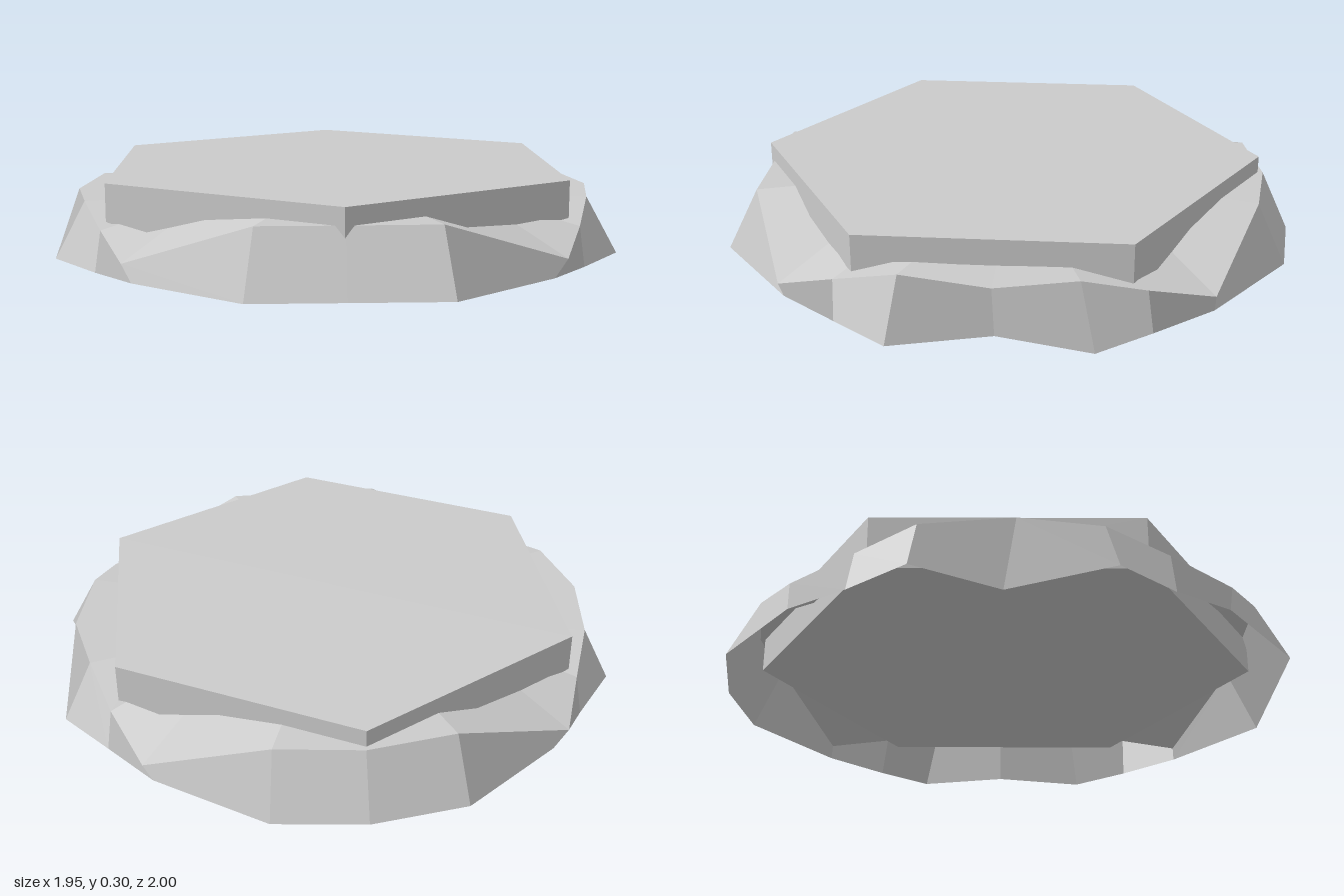
import * as THREE from 'three';

// Stations around the rock ring, counter-clockwise from the front:
// [top x, y, z, bottom x, y, z, height of the inner edge]
const stations = [
  [0.00, 0.24, 0.895, 0.00, 0.025, 0.995, 0.24],
  [0.30, 0.24, 0.89, 0.33, 0.025, 0.995, 0.24],
  [0.72, 0.09, 0.72, 0.68, 0.025, 0.715, 0.20],
  [0.80, 0.155, 0.52, 0.82, 0.015, 0.52, 0.20],
  [0.87, 0.215, 0.30, 0.975, 0.02, 0.33, 0.21],
  [0.93, 0.21, 0.00, 0.85, 0.0, 0.00, 0.21],
  [0.87, 0.215, -0.27, 0.97, 0.02, -0.32, 0.21],
  [0.80, 0.155, -0.48, 0.82, 0.015, -0.50, 0.20],
  [0.70, 0.09, -0.70, 0.67, 0.025, -0.70, 0.20],
  [0.29, 0.24, -0.86, 0.31, 0.025, -0.96, 0.24],
  [0.00, 0.24, -0.90, 0.00, 0.025, -1.00, 0.24],
  [-0.30, 0.24, -0.85, -0.33, 0.025, -0.95, 0.24],
  [-0.72, 0.09, -0.68, -0.67, 0.025, -0.69, 0.20],
  [-0.80, 0.155, -0.47, -0.82, 0.015, -0.49, 0.20],
  [-0.88, 0.215, -0.27, -0.975, 0.02, -0.29, 0.21],
  [-0.93, 0.21, 0.04, -0.85, 0.0, 0.00, 0.21],
  [-0.87, 0.215, 0.32, -0.97, 0.02, 0.35, 0.21],
  [-0.79, 0.155, 0.53, -0.81, 0.015, 0.54, 0.20],
  [-0.70, 0.09, 0.735, -0.67, 0.025, 0.73, 0.20],
  [-0.28, 0.24, 0.895, -0.31, 0.025, 0.995, 0.24],
];

const top = (s) => new THREE.Vector3(s[0], s[1], s[2]);
const bottom = (s) => new THREE.Vector3(s[3], s[4], s[5]);
const inner = (s) => new THREE.Vector3(s[0] * 0.74, s[6], s[2] * 0.74);

// Band of quads joining two edge loops, one shared normal per quad
function band(upper, lower) {
  const positions = [], normals = [];
  stations.forEach((s, i) => {
    const next = stations[(i + 1) % stations.length];
    const a = upper(s), b = lower(s), c = lower(next), d = upper(next);
    const normal = c.clone().sub(a).cross(d.clone().sub(b)).normalize();
    for (const p of [a, b, c, a, c, d]) {
      positions.push(...p.toArray());
      normals.push(...normal.toArray());
    }
  });
  const geometry = new THREE.BufferGeometry();
  geometry.setAttribute('position', new THREE.Float32BufferAttribute(positions, 3));
  geometry.setAttribute('normal', new THREE.Float32BufferAttribute(normals, 3));
  return geometry;
}

export function createModel() {
  const group = new THREE.Group();
  const material = new THREE.MeshStandardMaterial({ color: 0xcccccc, side: THREE.DoubleSide });
  const add = (name, geometry) => {
    const mesh = new THREE.Mesh(geometry, material);
    mesh.name = name;
    group.add(mesh);
    return mesh;
  };

  // Open-bottomed rocky rim
  add('rockSkirt', band(top, bottom));
  add('rockShoulder', band(inner, top));

  // Hexagonal slab sunk into the rim
  const hexagon = new THREE.CylinderGeometry(0.897, 0.897, 0.185, 6).toNonIndexed();
  hexagon.computeVertexNormals();
  const slab = add('hexagonSlab', hexagon);
  slab.position.set(-0.003, 0.2075, 0.015);

  return group;
}
